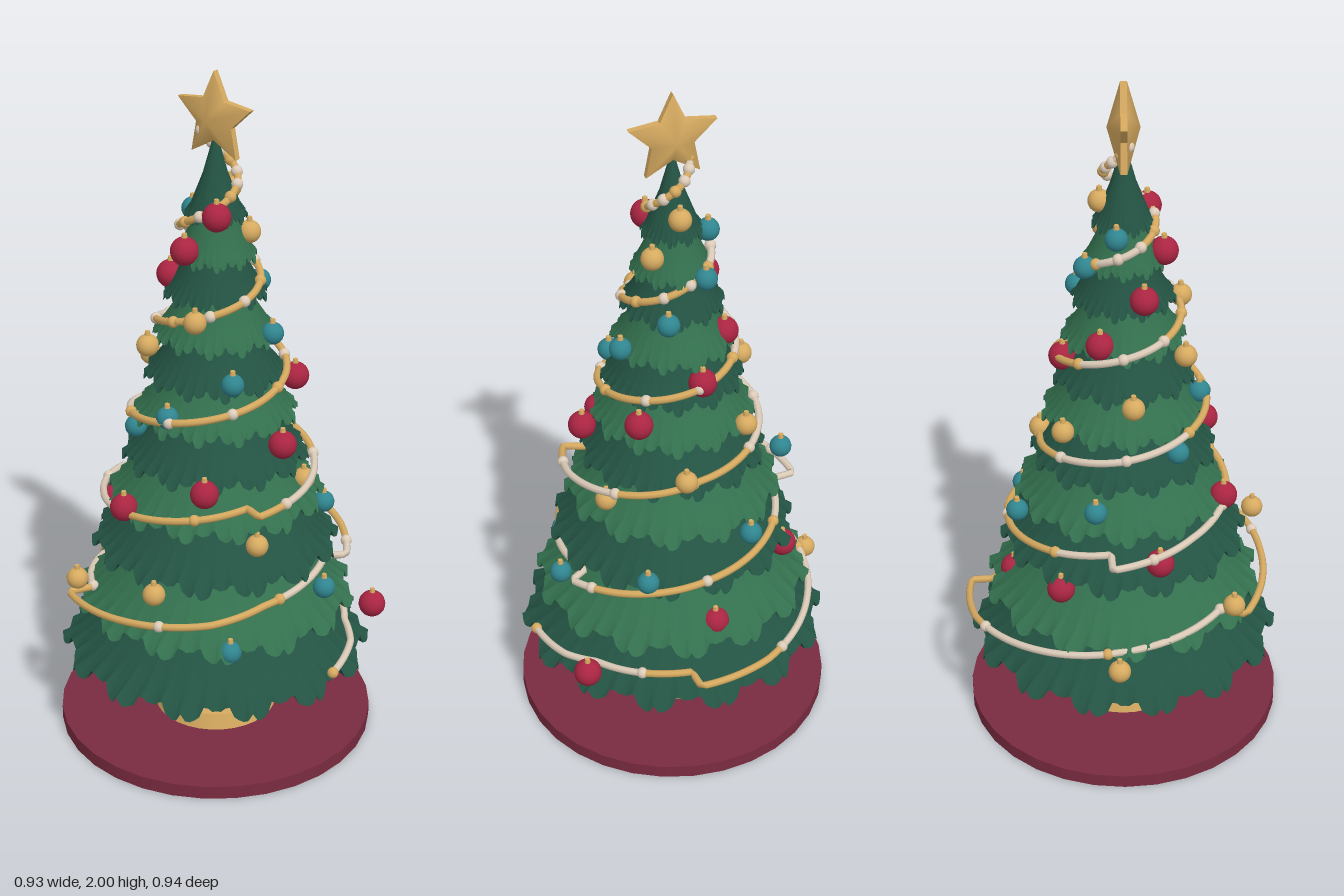
import * as THREE from 'three';

const mat = (name, color, side = THREE.FrontSide) => {
  const m = new THREE.MeshStandardMaterial({ color, side });
  m.name = name;
  return m;
};

// closed-ring strip: point(theta, j) gives a corner, j runs from top to bottom
function strip(point, rows, cols) {
  const pos = [], idx = [];
  for (let i = 0; i <= cols; i++)
    for (let j = 0; j < rows; j++) pos.push(...point((i / cols) * Math.PI * 2, j));
  for (let i = 0; i < cols; i++)
    for (let j = 0; j < rows - 1; j++) {
      const a = i * rows + j, c = a + rows;
      idx.push(a, a + 1, c, c, a + 1, c + 1);
    }
  const g = new THREE.BufferGeometry();
  g.setAttribute('position', new THREE.Float32BufferAttribute(pos, 3));
  g.setIndex(idx);
  g.computeVertexNormals();
  return g;
}

// garland: [turn, radius], with small outward jogs over the branches
const GARLAND = [
  [0, .43], [.06, .415], [.1, .385], [.22, .4], [.226, .465], [.3, .46], [.4, .42], [.5, .385],
  [.64, .365], [.646, .44], [.75, .41], [.85, .39], [.92, .345], [1.06, .33], [1.066, .39],
  [1.13, .375], [1.25, .34], [1.35, .32], [1.48, .295], [1.486, .37], [1.6, .325], [1.75, .295],
  [1.91, .265], [1.916, .325], [2, .31], [2.1, .28], [2.25, .24], [2.5, .25], [2.75, .235],
  [3, .205], [3.25, .195], [3.5, .17], [3.75, .16], [4, .135], [4.25, .108], [4.5, .105],
  [4.75, .085], [5, .065], [5.55, .04],
];
function garlandPoint(t) {
  let k = 0;
  while (k < GARLAND.length - 2 && GARLAND[k + 1][0] < t) k++;
  const [t0, r0] = GARLAND[k], [t1, r1] = GARLAND[k + 1];
  const r = r0 + (r1 - r0) * (t - t0) / (t1 - t0), a = t * Math.PI * 2;
  return new THREE.Vector3(r * Math.cos(a), .295 + .277 * t, -r * Math.sin(a));
}
class GarlandSpan extends THREE.Curve {
  constructor(a, b) { super(); this.a = a; this.b = b; }
  getPoint(u, target = new THREE.Vector3()) {
    return target.copy(garlandPoint(this.a + (this.b - this.a) * u));
  }
}

export function createModel() {
  const root = new THREE.Group();
  const M = {
    dark: mat('dark green', 0x235343, THREE.DoubleSide),
    light: mat('light green', 0x33704e, THREE.DoubleSide),
    gold: mat('gold', 0xd6aa60),
    pale: mat('pale bead', 0xdccbb8),
    red: mat('red', 0xaa2542),
    teal: mat('teal', 0x30858f),
    wine: mat('wine base', 0x7a2b40),
    bark: mat('bark', 0x5c4334),
  };
  const add = (name, geo, material, x = 0, y = 0, z = 0, parent = root) => {
    const m = new THREE.Mesh(geo, material);
    m.name = name;
    m.position.set(x, y, z);
    parent.add(m);
    return m;
  };

  // base, stand and trunk
  add('baseDisc', new THREE.CylinderGeometry(.467, .467, .04, 32), M.wine, 0, .02);
  add('stand', new THREE.CylinderGeometry(.17, .182, .046, 32), M.gold, 0, .063);
  add('trunk', new THREE.CylinderGeometry(.045, .055, .5, 16), M.bark, 0, .33);

  // drooping branch tiers with wavy, toothed rims: [rim height, rim radius]
  const tiers = [
    [.245, .445], [.41, .4], [.59, .352], [.74, .308], [.87, .262], [1, .23],
    [1.12, .198], [1.24, .172], [1.36, .143], [1.47, .114], [1.585, .086],
  ];
  const foliage = new THREE.Group();
  foliage.name = 'foliage';
  root.add(foliage);
  tiers.forEach(([y, R], n) => {
    const last = n === tiers.length - 1;
    const lobes = 14 - Math.floor(n / 3), s = .45 + .55 * R / .45;
    const profile = last
      ? [[.006, .255], [.4, .13], [.8, .04], [1, 0]]
      : [[.34, .3 * s + .04], [.66, .15 * s], [.88, .06 * s], [1, 0]];
    // w is how strongly the row follows the wave; teeth only notch the rim
    const wave = (a, w) => {
      const tip = .5 + .5 * Math.cos(lobes * a + n * 2.6);
      const notch = Math.pow(Math.abs(Math.cos(lobes * 1.5 * a + n)), 8);
      return [1 + w * .075 * (tip - .6), s * (w * .025 * (1 - tip) + (w === 1 ? .03 * notch : 0))];
    };
    const point = (rows, weights) => (a, j) => {
      const [f, h] = wave(a, weights[j]);
      const r = R * rows[j][0] * f;
      return [r * Math.sin(a), y + rows[j][1] + h, r * Math.cos(a)];
    };
    const under = [[1, 0], [.8, .065 * s], [.12, .11 * s]];
    const m = n % 2 ? M.light : M.dark, cols = lobes * 16;
    add('branchTier', strip(point(profile, [0, .3, .7, 1]), 4, cols), m, 0, 0, 0, foliage);
    add('branchUnderside', strip(point(under, [1, .4, 0]), 3, cols), m, 0, 0, 0, foliage);
  });

  // beaded garland winding up the tree, beads closer together near the top
  const garland = new THREE.Group();
  garland.name = 'garland';
  root.add(garland);
  const bead = new THREE.SphereGeometry(.0165, 12, 8);
  const spans = 46;
  const turn = (i) => 5.55 * (1.35 * i / spans - .35 * (i / spans) ** 2);
  for (let i = 0; i <= spans; i++) {
    const a = turn(i), p = garlandPoint(a);
    add('garlandBead', bead, i % 3 ? M.pale : M.gold, p.x, p.y, p.z, garland);
    if (i === spans) break;
    const b = turn(i + 1), mid = (a + b) / 2, f = mid % 1;
    const pale = (f > .38 && f < .62) || (mid < 2.2 && (f > .9 || f < .12));
    const tube = new THREE.TubeGeometry(new GarlandSpan(a, b), 24, .0108, 7);
    add('garlandStrand', tube, pale ? M.pale : M.gold, 0, 0, 0, garland);
  }

  // baubles: [x, y, z]
  const baubles = {
    red: [[.36, .36, -.3], [.155, 1.1, -.17], [.26, .99, .03], [.15, .885, .24], [-.105, .78, .285],
      [-.13, 1.285, -.065], [-.02, 1.52, .11], [-.115, 1.415, .055], [.055, 1.62, .065],
      [-.3, .68, .1], [-.28, .58, -.18], [-.02, .47, -.325], [-.03, 1.2, -.17]],
    teal: [[-.13, .75, -.305], [.175, .645, -.3], [.36, .535, -.045], [-.305, .855, -.08],
      [.165, 1.275, -.045], [.15, 1.17, .115], [0, 1.065, .215], [.055, 1.38, -.13],
      [-.06, 1.49, -.105], [-.095, 1.59, -.02], [.265, .435, .27], [-.17, .965, .15]],
    gold: [[-.425, .395, -.015], [-.265, .505, .315], [.085, .61, .385], [-.215, 1.135, .025],
      [.04, .925, -.24], [-.16, 1.03, -.17], [0, 1.66, -.065], [.075, 1.55, -.055],
      [-.105, 1.24, .17], [.055, 1.345, .16], [.235, .82, -.11], [.25, .71, .13]],
  };
  const cap = new THREE.CylinderGeometry(.007, .009, .014, 10);
  for (const [colour, list] of Object.entries(baubles)) {
    const r = colour === 'red' ? .04 : .032;
    const ball = new THREE.SphereGeometry(r, 20, 14);
    for (const [x, y, z] of list) {
      add(colour + 'Bauble', ball, M[colour], x, y, z);
      add('baubleCap', cap, M.gold, x, y + r + .004, z);
    }
  }

  // plump five-pointed star with a narrow edge; its two faces are softly shaded
  const star = new THREE.Group();
  star.name = 'topStar';
  star.position.y = 1.872;
  root.add(star);
  const pos = [0, 0, .045], idx = [], rim = [];
  for (let i = 0; i < 10; i++) {
    const a = Math.PI / 2 + i * Math.PI / 5, r = i % 2 ? .062 : .128;
    pos.push(r * Math.cos(a), r * Math.sin(a), .009);
    idx.push(0, i + 1, (i + 1) % 10 + 1);
    rim.push(new THREE.Vector2(r * Math.cos(a), r * Math.sin(a)));
  }
  const face = new THREE.BufferGeometry();
  face.setAttribute('position', new THREE.Float32BufferAttribute(pos, 3));
  face.setIndex(idx);
  face.computeVertexNormals();
  add('starFront', face, M.gold, 0, 0, 0, star);
  add('starBack', face, M.gold, 0, 0, 0, star).rotation.y = Math.PI;
  const edge = new THREE.ExtrudeGeometry(new THREE.Shape(rim), { depth: .018, bevelEnabled: false });
  add('starEdge', edge, M.gold, 0, 0, -.009, star);

  return root;
}
